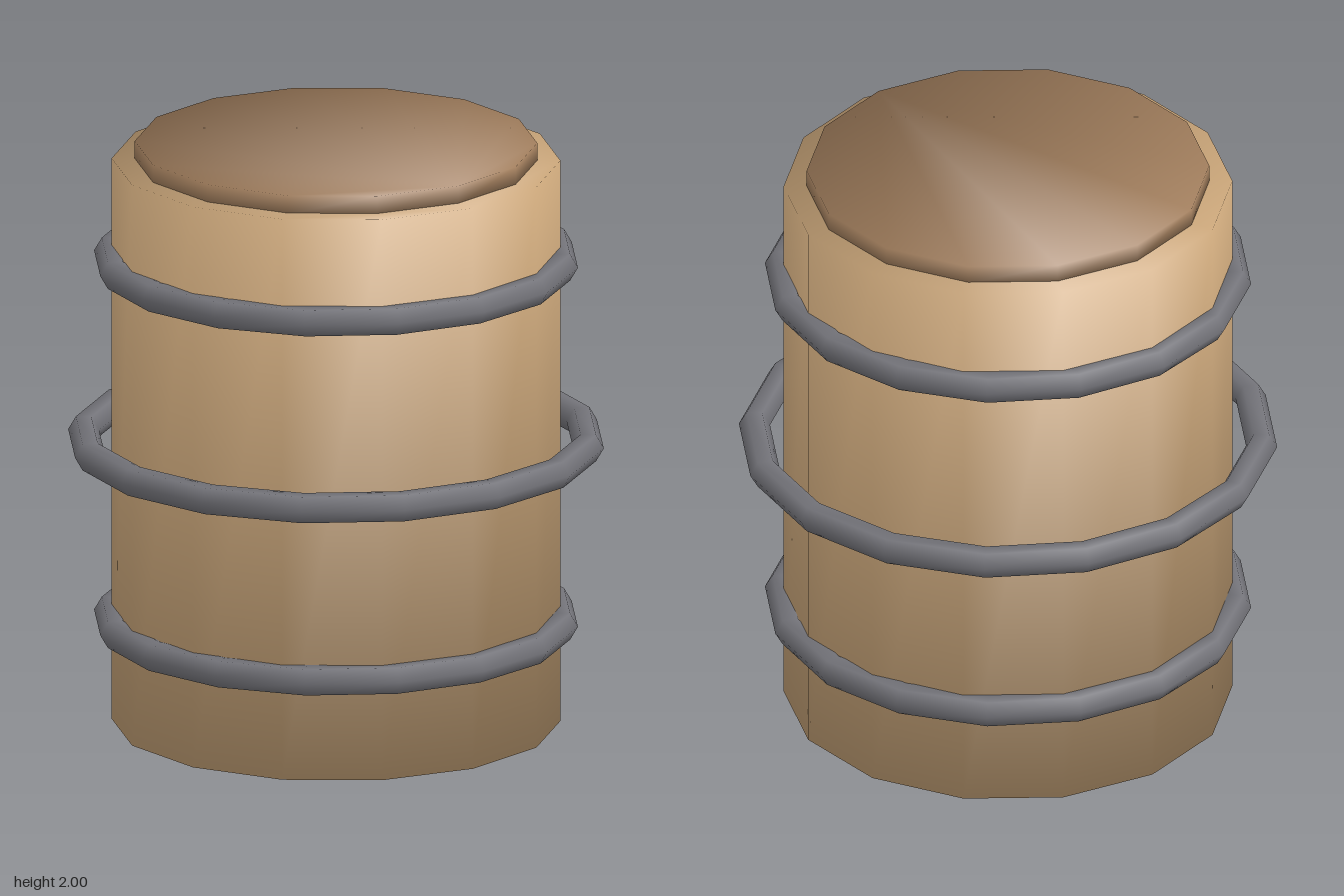
import * as THREE from 'three';

const SIDES = 14;

// Closed prism whose normals blend smoothly from the wall over both flat caps
function softPrism(radius, y0, y1) {
  const positions = [], normals = [], index = [];
  const corner = Math.PI * (1 - 2 / SIDES); // cap angle at each corner
  const out = Math.PI * Math.cos(Math.PI / SIDES); // two square wall corners
  const len = Math.hypot(corner, out);
  for (const [y, up] of [[y0, -1], [y1, 1]]) {
    for (let i = 0; i < SIDES; i++) {
      const a = (i / SIDES) * Math.PI * 2;
      positions.push(radius * Math.sin(a), y, radius * Math.cos(a));
      normals.push(Math.sin(a) * out / len, up * corner / len, Math.cos(a) * out / len);
    }
  }
  for (let i = 0; i < SIDES; i++) {
    const j = (i + 1) % SIDES;
    index.push(i, j, SIDES + j, i, SIDES + j, SIDES + i);
    if (i > 0 && j > 0) index.push(0, j, i, SIDES, SIDES + i, SIDES + j);
  }
  const geometry = new THREE.BufferGeometry();
  geometry.setAttribute('position', new THREE.Float32BufferAttribute(positions, 3));
  geometry.setAttribute('normal', new THREE.Float32BufferAttribute(normals, 3));
  geometry.setIndex(index);
  return geometry;
}

export function createModel() {
  const wood = new THREE.MeshStandardMaterial({ name: 'light wood', color: 0xc8a478 });
  const darkWood = new THREE.MeshStandardMaterial({ name: 'dark wood', color: 0xa07d5c });
  const iron = new THREE.MeshStandardMaterial({ name: 'iron', color: 0x74747a });

  const barrel = new THREE.Group();
  barrel.name = 'barrel';
  const add = (name, geometry, material) => {
    const mesh = new THREE.Mesh(geometry, material);
    mesh.name = name;
    barrel.add(mesh);
    return mesh;
  };

  // Wooden body and the lid resting on it
  add('body', softPrism(0.747, 0, 1.94), wood);
  add('lid', softPrism(0.67, 1.935, 2), darkWood);

  // Hoops: the wide middle one stands clear of the body
  for (const [name, radius, y] of [
    ['lowerHoop', 0.76, 0.352],
    ['middleHoop', 0.847, 0.973],
    ['upperHoop', 0.76, 1.595],
  ]) {
    const hoop = add(name, new THREE.TorusGeometry(radius, 0.052, 6, 16), iron);
    hoop.rotation.x = Math.PI / 2;
    hoop.position.y = y;
  }
  return barrel;
}
